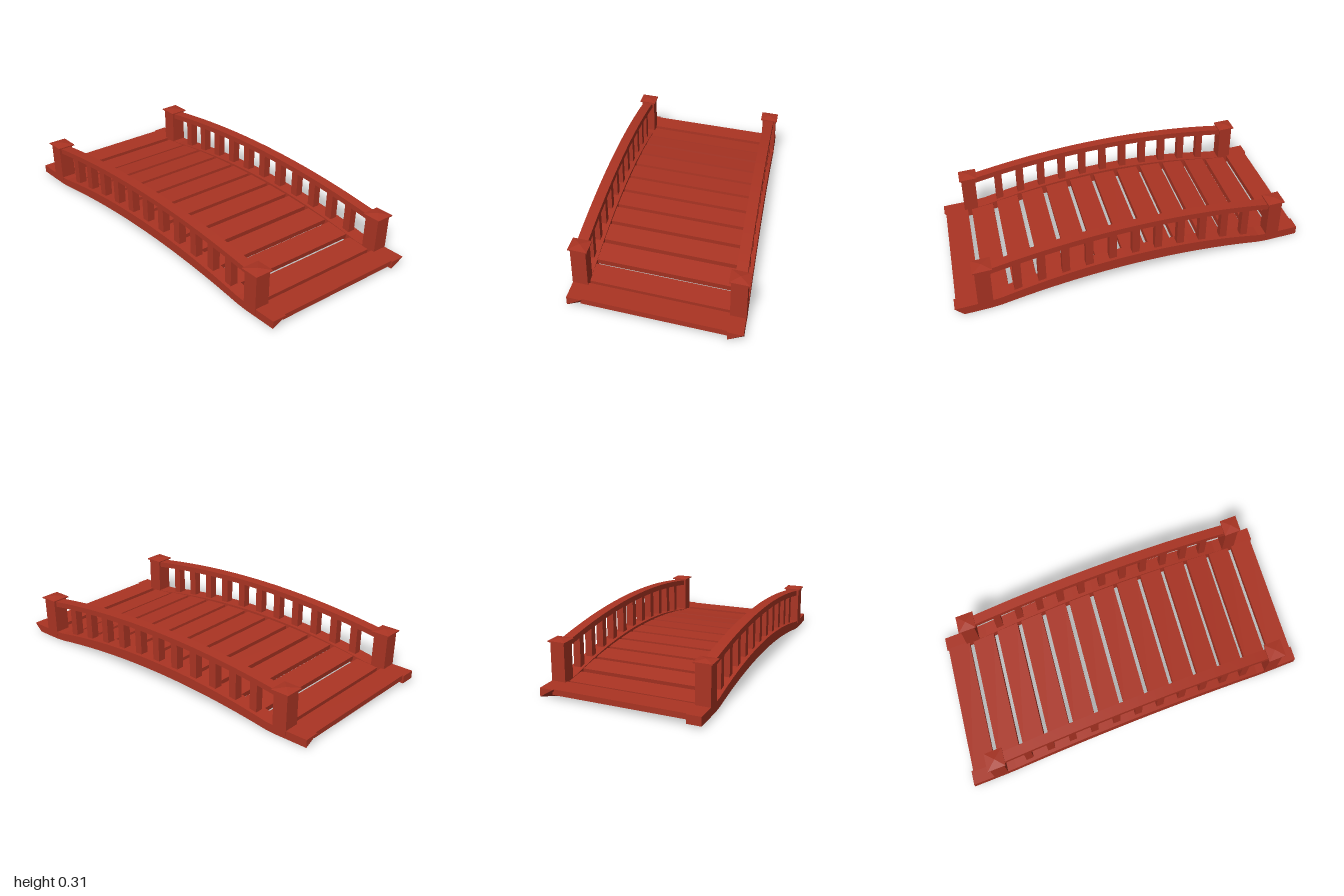
import * as THREE from 'three';

const END = 0.94, SIDE_Z = 0.386, POST_X = 0.788, RISE = 0.062;

// Height of the bridge's curve above its flat ends
const arch = (x) => RISE * Math.max(0, 1 - (x / 0.73) ** 2);

// The whole bridge crosses at a slight skew
const SKEW = new THREE.Matrix4().set(
  1, 0, -0.143, 0,
  0, 1, 0.016, 0,
  0.0186, 0, 1, 0,
  0, 0, 0, 1,
);

// Curved strip following lower and upper height rules, extruded across z
function strip(half, lower, upper, width, steps = 32) {
  const xs = Array.from({ length: steps + 1 }, (_, i) => -half + (2 * half * i) / steps);
  const pts = [
    ...xs.map((x) => new THREE.Vector2(x, lower(x))),
    ...xs.reverse().map((x) => new THREE.Vector2(x, upper(x))),
  ];
  const geo = new THREE.ExtrudeGeometry(new THREE.Shape(pts), { depth: width, bevelEnabled: false });
  return geo.translate(0, 0, -width / 2);
}

export function createModel() {
  const group = new THREE.Group();
  const red = new THREE.MeshStandardMaterial({ color: 0xab3423 });
  red.name = 'red painted wood';

  const add = (name, geo) => {
    geo.applyMatrix4(SKEW);
    const mesh = new THREE.Mesh(geo, red);
    mesh.name = name;
    group.add(mesh);
  };

  // Deck planks, each tilted to the curve
  for (let k = -6; k <= 6; k++) {
    const x = k * 0.145;
    const slope = Math.atan((arch(x + 0.06) - arch(x - 0.06)) / 0.12);
    const plank = new THREE.BoxGeometry(0.122, 0.028, 2 * SIDE_Z - 0.06);
    add('deckPlank', plank.rotateZ(slope).translate(x, arch(x) + 0.037, 0));
  }

  for (const side of [1, -1]) {
    const z = side * SIDE_Z;

    // Side beam with flat ends and undercut end corners
    const beamTop = (x) => 0.051 + arch(x) * 1.2;
    const beam = strip(END, (x) => 0.007 + arch(x), beamTop, 0.075);
    const p = beam.attributes.position;
    for (let i = 0; i < p.count; i++) {
      if (p.getY(i) > 0.02 || Math.abs(p.getX(i)) < END - 0.001) continue;
      if (p.getX(i) > 0 && p.getZ(i) < 0) p.setX(i, END - 0.045);
      if (p.getX(i) < 0 && p.getZ(i) > 0 && side < 0) p.setX(i, -END + 0.045);
    }
    beam.computeVertexNormals();
    add('sideBeam', beam.translate(0, 0, z));

    // Arched handrail
    const railTop = (x) => 0.3 - 0.062 * (x / 0.76) ** 2;
    const rail = strip(POST_X - 0.02, (x) => railTop(x) - 0.03, railTop, 0.054);
    add('handrail', rail.translate(0, 0, z));

    // Balusters between beam and handrail
    for (let k = -5; k <= 5; k++) {
      const x = k * 0.124;
      const bottom = beamTop(x) - 0.012, top = railTop(x) - 0.015;
      const baluster = new THREE.BoxGeometry(0.04, top - bottom, 0.04);
      add('baluster', baluster.translate(x, (top + bottom) / 2, z));
    }

    // End posts with low pyramid caps
    for (const end of [1, -1]) {
      const x = end * POST_X;
      add('post', new THREE.BoxGeometry(0.076, 0.23, 0.078).translate(x, 0.132, z));
      add('postCap', new THREE.BoxGeometry(0.096, 0.006, 0.096).translate(x, 0.248, z));
      const peak = new THREE.ConeGeometry(0.048 * Math.SQRT2, 0.008, 4, 1, false, Math.PI / 4).toNonIndexed();
      peak.computeVertexNormals();
      add('postCapTop', peak.translate(x, 0.255, z));
    }
  }
  return group;
}
